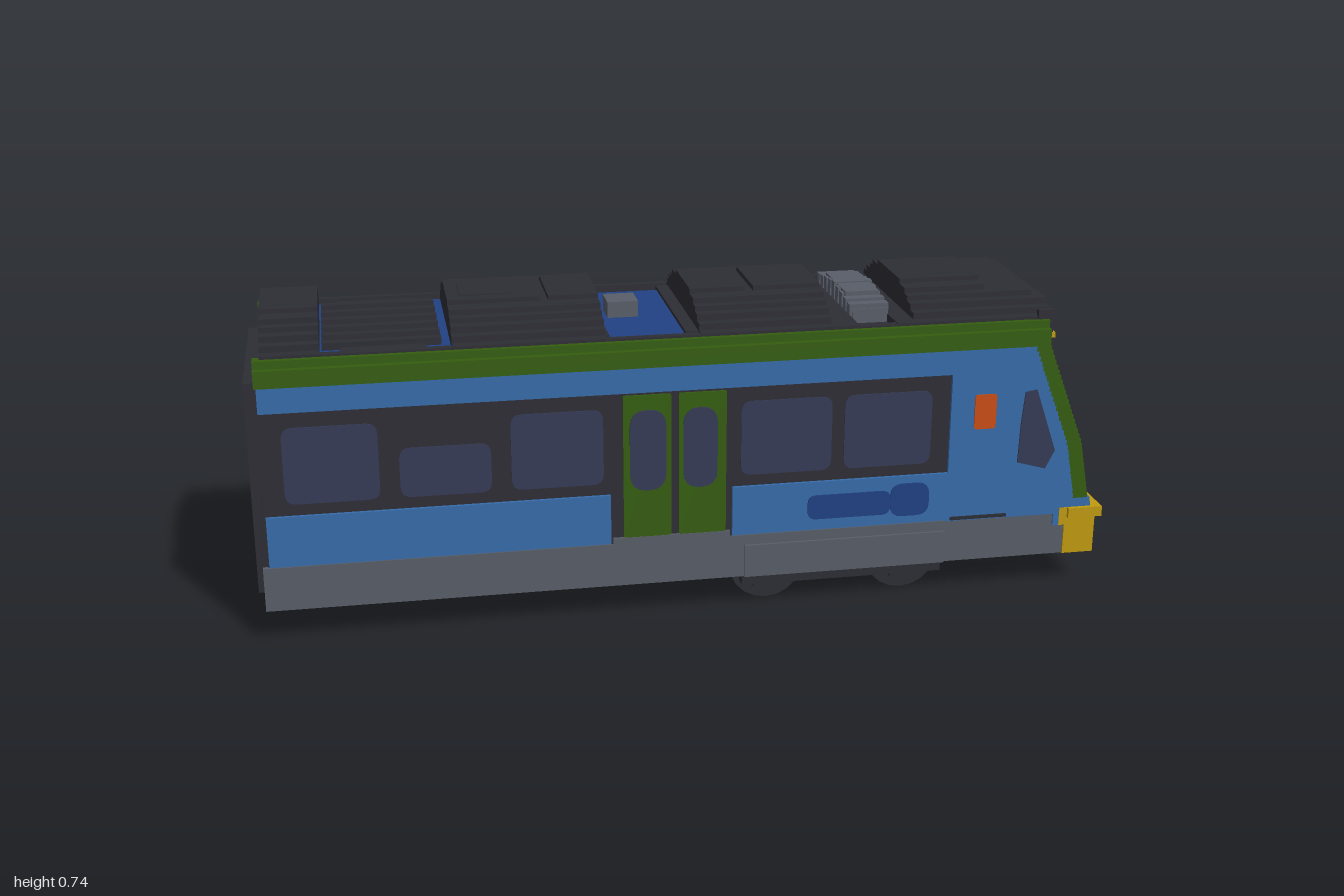
import * as THREE from 'three';
import { mergeGeometries } from 'three/addons/utils/BufferGeometryUtils.js';

const paint = (name, color) => {
  const m = new THREE.MeshStandardMaterial({ color });
  m.name = name;
  return m;
};

export function createModel() {
  const model = new THREE.Group();
  model.name = 'tramCar';
  const blue = paint('blue', 0x366cab), navy = paint('navy', 0x204183);
  const green = paint('green', 0x355e0f), dark = paint('charcoal', 0x2d2d35);
  const glass = paint('glass', 0x353b56), grey = paint('grey', 0x595e69);
  const yellow = paint('yellow', 0xc29b10), orange = paint('orange', 0xcb4d14);
  const white = paint('white', 0xc4c4c4);

  const add = (name, material, geometries) => {
    const mesh = new THREE.Mesh(mergeGeometries(geometries), material);
    mesh.name = name;
    model.add(mesh);
  };
  // Boxes are given as x0, x1, y0, y1, z0, z1
  const box = ([x0, x1, y0, y1, z0, z1]) =>
    new THREE.BoxGeometry(x1 - x0, y1 - y0, z1 - z0)
      .translate((x0 + x1) / 2, (y0 + y1) / 2, (z0 + z1) / 2);
  const boxes = (name, material, list) => add(name, material, list.map(box));
  const mirror = list => list.flatMap(b => [b, [b[0], b[1], b[2], b[3], -b[5], -b[4]]]);

  // Thin shaped plates on the side walls; sides lists +1 and/or -1
  const plates = (name, material, shapes, z, sides = [1, -1]) =>
    add(name, material, shapes.flatMap(shape => sides.map(s =>
      new THREE.ExtrudeGeometry(shape, { depth: 0.008, bevelEnabled: false, curveSegments: 4 })
        .translate(0, 0, s > 0 ? z - 0.008 : -z))));
  const rounded = (x0, x1, y0, y1, r) => {
    const s = new THREE.Shape();
    s.moveTo(x0 + r, y0);
    s.lineTo(x1 - r, y0).quadraticCurveTo(x1, y0, x1, y0 + r);
    s.lineTo(x1, y1 - r).quadraticCurveTo(x1, y1, x1 - r, y1);
    s.lineTo(x0 + r, y1).quadraticCurveTo(x0, y1, x0, y1 - r);
    s.lineTo(x0, y0 + r).quadraticCurveTo(x0, y0, x0 + r, y0);
    return s;
  };

  // Dark inner shell, rear gangway and floor equipment
  boxes('shell', dark, [[-0.972, 0.63, 0.081, 0.64, -0.257, 0.257], [0.63, 0.93, 0.081, 0.19, -0.257, 0.257]]);
  boxes('rearGangway', dark, [[-1, -0.96, 0.11, 0.61, -0.22, 0.22]]);
  boxes('underfloorBoxes', dark, [
    [-0.615, -0.35, 0.055, 0.09, -0.17, 0.17], [-0.25, -0.04, 0.055, 0.09, -0.17, 0.17],
    [-0.03, 0.12, 0.055, 0.09, -0.17, 0.17]]);

  // Side panels
  boxes('skirt', grey, mirror([[-0.985, 0.91, 0.08, 0.185, 0.25, 0.261], [-0.19, 0.085, 0.18, 0.2, 0.25, 0.263]]));
  boxes('bogieCover', grey, mirror([[0.12, 0.61, 0.08, 0.16, 0.25, 0.267]]));
  boxes('bluePanels', blue, mirror([
    [-0.97, -0.195, 0.188, 0.308, 0.25, 0.265], [0.09, 0.615, 0.188, 0.308, 0.25, 0.265],
    [-0.97, 0.615, 0.552, 0.61, 0.25, 0.265], [0.88, 0.91, 0.155, 0.19, 0.25, 0.265]]));
  boxes('cantrail', green, mirror([[-0.975, 0.845, 0.61, 0.65, 0.22, 0.265], [-0.975, 0.845, 0.65, 0.668, 0.22, 0.25]]));

  // Sloping cab, built in steps
  const noseX = y => y < 0.36
    ? 0.965 - (y - 0.22) * 0.18
    : Math.max(0.845, 0.94 - (y - 0.36) * 0.38);
  const cab = [], frame = [], screenFrame = [], windscreen = [];
  const step = 0.0125;
  for (let i = 0; i < 36; i++) {
    const y0 = 0.185 + i * step, y1 = y0 + step, y = y0 + step / 2, x = noseX(y);
    if (y < 0.225) { cab.push([0.61, x + 0.005, y0, y1, -0.265, 0.265]); continue; }
    if (y < 0.61) cab.push([0.61, x - 0.035, y0, y1, -0.265, 0.265]);
    const back = x - 0.036;
    if (y < 0.3) { frame.push([back, x, y0, y1, -0.265, 0.265]); continue; }
    const inner = y > 0.6 ? 0.238 : 0.225, outer = y > 0.648 ? 0.25 : 0.265;
    frame.push(...mirror([[back, x, y0, y1, inner, outer]]));
    if (y > 0.345 && y < 0.565) {
      windscreen.push([back, x - 0.004, y0, y1, -0.213, 0.213]);
      screenFrame.push(...mirror([[back, x - 0.002, y0, y1, 0.213, 0.225]]));
    } else screenFrame.push([back, x - 0.002, y0, y1, -inner, inner]);
  }
  boxes('cabSides', blue, cab);
  boxes('noseFrame', green, frame);
  boxes('windscreenFrame', dark, [...screenFrame, [0.92, 0.953, 0.294, 0.31, -0.07, 0.07]]);
  boxes('windscreen', glass, windscreen);

  // Wiper: an upright blade and a stepped arm
  const wiper = [[0.88, 0.925, 0.4, 0.53, -0.172, -0.162]];
  for (let i = 0; i < 7; i++) {
    const y = 0.325 + i * 0.0125, z = -0.012 - i * 0.021;
    wiper.push([0.9, noseX(y) + 0.015, y, y + 0.0125, z - 0.045, z]);
  }
  boxes('wiper', dark, wiper);

  // Front trim and lamps
  boxes('frontStripe', yellow, [[0.83, 0.864, 0.622, 0.635, -0.24, 0.24]]);
  boxes('displayMarks', yellow, [
    [0.84, 0.862, 0.585, 0.598, -0.012, 0.012],
    ...mirror([[0.84, 0.862, 0.585, 0.598, 0.035, 0.045], [0.84, 0.862, 0.585, 0.598, 0.047, 0.057]]).filter((b, i) => i !== 2 && i !== 3),
    [0.84, 0.862, 0.585, 0.598, 0.125, 0.165], [0.84, 0.862, 0.585, 0.598, -0.137, -0.1]]);
  boxes('headlights', white, mirror([[0.94, 0.967, 0.24, 0.278, 0.107, 0.134], [0.94, 0.967, 0.24, 0.278, 0.146, 0.173]]));
  boxes('indicators', orange, mirror([[0.94, 0.967, 0.24, 0.278, 0.185, 0.212]]));
  boxes('bumper', yellow, [
    [0.91, 0.987, 0.08, 0.2, -0.265, 0.265], [0.895, 0.985, 0.155, 0.2, -0.266, 0.266],
    [0.915, 1, 0.175, 0.2, -0.275, 0.275]]);
  const cross = (x, y, z) => [
    [x, x + 0.005, y - 0.014, y + 0.014, z - 0.005, z + 0.005],
    [x, x + 0.005, y - 0.005, y + 0.005, z - 0.014, z + 0.014]];
  boxes('upperBumperLamps', grey, mirror(cross(0.986, 0.16, 0.211)));
  boxes('lowerBumperLamps', orange, mirror(cross(0.986, 0.108, 0.211)));
  boxes('roofLamp', white, cross(0.868, 0.675, 0));

  // Side windows and doors
  plates('windows', glass, [
    [-0.925, -0.715, 0.335, 0.515], [-0.67, -0.465, 0.335, 0.452], [-0.42, -0.21, 0.335, 0.515],
    [0.11, 0.325, 0.335, 0.515], [0.355, 0.565, 0.335, 0.515],
  ].map(w => rounded(...w, 0.025)), 0.26);
  plates('doors', green, [rounded(-0.165, -0.054, 0.2, 0.545, 0.004), rounded(-0.036, 0.075, 0.2, 0.545, 0.004)], 0.262);
  plates('doorWindows', glass, [rounded(-0.15, -0.066, 0.315, 0.51, 0.04), rounded(-0.026, 0.054, 0.315, 0.51, 0.04)], 0.265);
  const cabWindow = new THREE.Shape([[0.78, 0.325], [0.85, 0.305], [0.872, 0.35], [0.818, 0.505], [0.79, 0.5], [0.783, 0.42]]
    .map(p => new THREE.Vector2(...p)));
  plates('cabWindows', glass, [cabWindow], 0.268);
  plates('cabDoorWindow', glass, [rounded(0.66, 0.735, 0.365, 0.505, 0.03)], 0.268, [-1]);
  plates('sidePanelMark', orange, [rounded(0.667, 0.72, 0.415, 0.5, 0.008)], 0.268, [1]);
  plates('sidePatches', navy, [rounded(0.27, 0.47, 0.215, 0.275, 0.02), rounded(0.47, 0.565, 0.208, 0.29, 0.03)], 0.268);
  plates('sillLines', dark, [rounded(0.62, 0.76, 0.188, 0.196, 0.002)], 0.268);

  // Roof deck and arched equipment covers
  boxes('roofDeck', dark, [
    [-0.972, 0.84, 0.62, 0.656, -0.235, 0.235], ...mirror([[-0.96, 0.84, 0.65, 0.673, 0.218, 0.236]])]);
  const arch = (x0, x1, top) =>
    [[0.236, 0.675], [0.21, 0.69], [0.185, 0.705], [0.158, 0.717], [0.135, 0.73], [0.092, 0.741]]
      .filter(s => s[1] <= top).map(([w, y]) => [x0, x1, 0.64, y, -w, w]);
  boxes('roofCovers', dark, [
    ...arch(-0.96, -0.83, 0.75), ...arch(-0.54, -0.33, 0.75), ...arch(-0.33, -0.31, 0.735),
    ...arch(-0.31, -0.195, 0.75), ...arch(0.02, 0.15, 0.75), ...arch(0.15, 0.17, 0.735),
    ...arch(0.17, 0.33, 0.75), ...arch(0.33, 0.39, 0.68), ...arch(0.48, 0.525, 0.68),
    ...arch(0.525, 0.72, 0.75), ...arch(0.72, 0.83, 0.72),
    [-0.51, -0.38, 0.73, 0.744, -0.06, 0.06]]);
  boxes('frontHood', dark, [
    ...arch(0.82, 0.858, 0.71), [0.8, 0.858, 0.635, 0.67, -0.238, 0.238],
    [0.84, 0.868, 0.636, 0.69, -0.04, 0.04], ...mirror([[0.82, 0.858, 0.65, 0.69, 0.226, 0.24]])]);

  // Sunken roof bays
  boxes('roofBays', navy, [[-0.83, -0.54, 0.64, 0.66, -0.217, 0.217], [-0.195, 0.02, 0.64, 0.664, -0.19, 0.19]]);
  boxes('bayEdges', dark, [[-0.01, 0.03, 0.64, 0.672, -0.2, 0.2], [-0.2, -0.185, 0.64, 0.672, -0.2, 0.2]]);
  const bars = [[-0.785, -0.595, 0.65, 0.665, -0.217, 0.217]];
  for (let i = 0; i < 6; i++) {
    const z = -0.155 + i * 0.062;
    bars.push([-0.825, -0.56, 0.65, 0.677, z - 0.011, z + 0.011]);
  }
  boxes('roofGrille', dark, bars);
  boxes('roofBox', grey, [[-0.165, -0.092, 0.65, 0.702, -0.04, 0.035]]);
  const louvre = [[0.395, 0.475, 0.64, 0.69, -0.155, 0.155], [0.395, 0.475, 0.64, 0.715, -0.09, 0.09]];
  for (let i = 0; i < 9; i++) {
    const z = -0.14 + i * 0.035, y = 0.718 - Math.abs(z) * 0.12;
    louvre.push([0.388, 0.482, 0.65, y, z - 0.012, z + 0.012]);
  }
  boxes('roofLouvre', grey, louvre);

  // Bogie with two wheelsets
  boxes('bogieFrame', dark, mirror([[0.12, 0.61, 0.048, 0.1, 0.2, 0.24], [0.15, 0.22, 0.04, 0.08, 0.2, 0.24], [0.485, 0.555, 0.04, 0.08, 0.2, 0.24]]));
  add('wheels', dark, [0.185, 0.52].flatMap(x => [0.191, -0.191].map(z =>
    new THREE.CylinderGeometry(0.09, 0.09, 0.04, 20).rotateX(Math.PI / 2).translate(x, 0.09, z))));

  return model;
}
